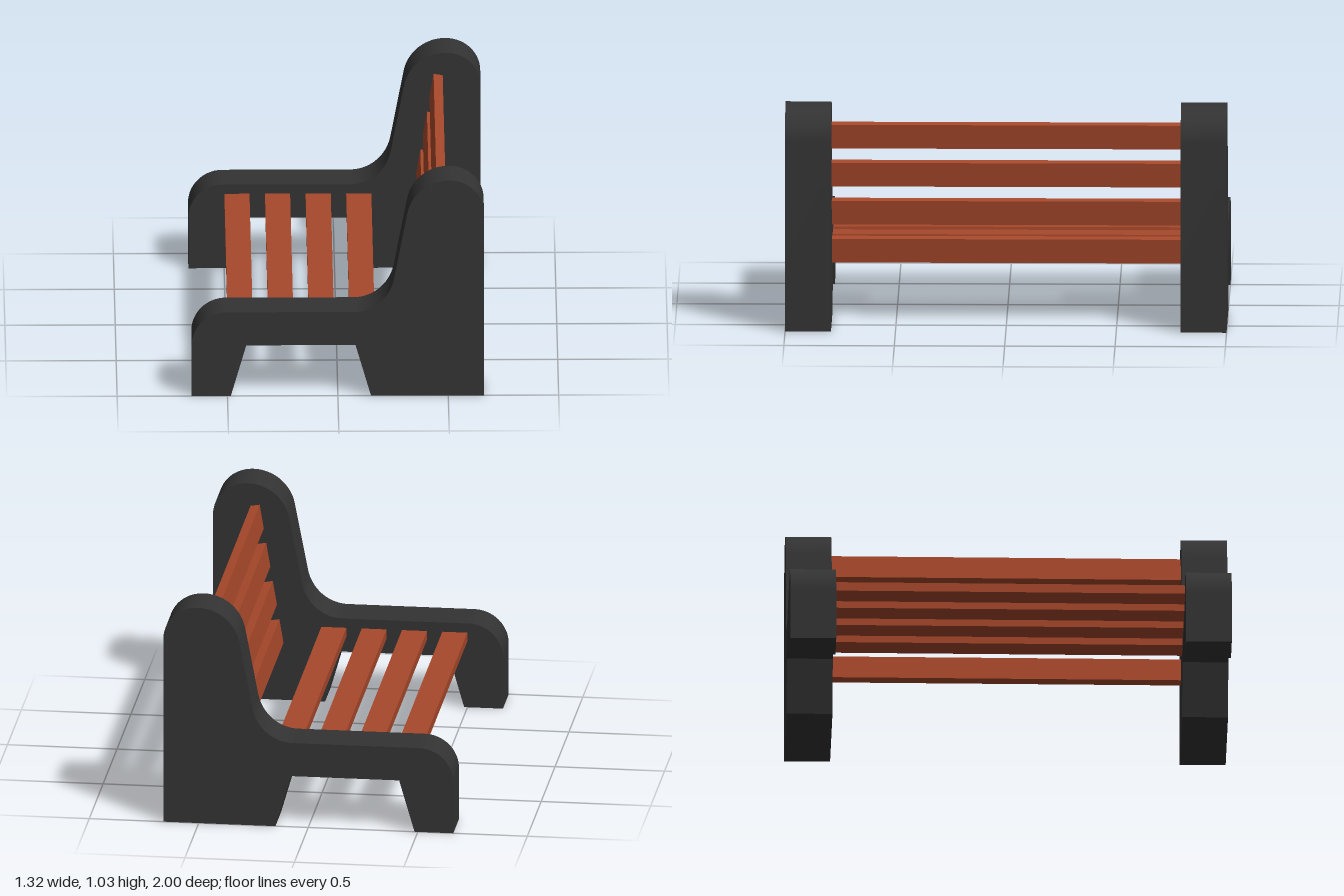
import * as THREE from 'three';
import { toCreasedNormals } from 'three/addons/utils/BufferGeometryUtils.js';

const HALF_LENGTH = 1;
const PANEL = 0.208; // thickness of an end panel

// Side outline of the end panels: front leg, seat rail, backrest and rear foot
function panelGeometry() {
  const s = new THREE.Shape();
  s.moveTo(0.662, 0);
  s.lineTo(0.662, 0.87);
  s.bezierCurveTo(0.662, 0.96, 0.592, 1.028, 0.502, 1.028);
  s.bezierCurveTo(0.412, 1.028, 0.333, 0.963, 0.315, 0.873);
  s.lineTo(0.255, 0.56);
  s.bezierCurveTo(0.238, 0.47, 0.165, 0.4, 0.07, 0.4);
  s.lineTo(-0.505, 0.4);
  s.bezierCurveTo(-0.592, 0.4, -0.662, 0.33, -0.662, 0.243);
  s.lineTo(-0.662, 0);
  s.lineTo(-0.485, 0);
  s.lineTo(-0.415, 0.242);
  s.lineTo(0.08, 0.242);
  s.lineTo(0.15, 0);
  s.closePath();
  const g = new THREE.ExtrudeGeometry(s, { depth: PANEL, bevelEnabled: false, curveSegments: 20 });
  return toCreasedNormals(g, 0.5);
}

export function createModel() {
  const bench = new THREE.Group();
  bench.name = 'bench';
  const concrete = new THREE.MeshStandardMaterial({ color: 0x333333 });
  const wood = new THREE.MeshStandardMaterial({ color: 0xa8482b });

  // End panels
  const panel = panelGeometry();
  for (const [name, z] of [['frontEndPanel', HALF_LENGTH - PANEL], ['rearEndPanel', -HALF_LENGTH]]) {
    const mesh = new THREE.Mesh(panel, concrete);
    mesh.name = name;
    mesh.position.z = z;
    bench.add(mesh);
  }

  // Slats spanning between the panels
  const slat = new THREE.BoxGeometry(0.114, 0.042, 2 * (HALF_LENGTH - PANEL));
  const addSlat = (name, x, y, tilt) => {
    const mesh = new THREE.Mesh(slat, wood);
    mesh.name = name;
    mesh.position.set(x, y, 0);
    mesh.rotation.z = tilt;
    bench.add(mesh);
  };
  for (let i = 0; i < 4; i++) {
    addSlat(`seatSlat${i + 1}`, -0.442 + i * 0.184, 0.335, 0);
    addSlat(`backSlat${i + 1}`, 0.37 + i * 0.03, 0.325 + i * 0.181, Math.PI / 2 - 0.166);
  }
  return bench;
}
